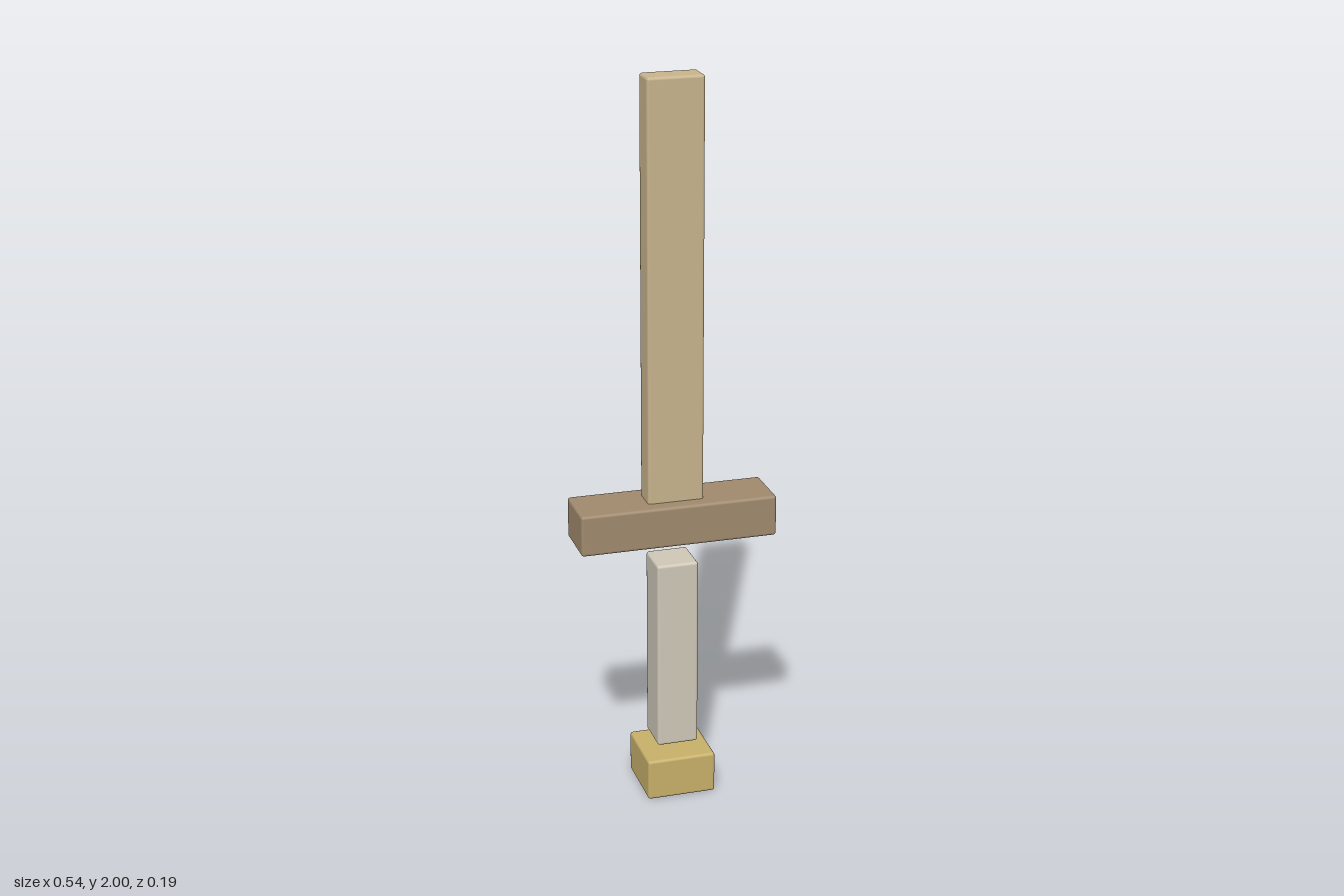
import * as THREE from 'three';
import { RoundedBoxGeometry } from 'three/addons/geometries/RoundedBoxGeometry.js';

const BEVEL = 0.008;

// Softly bevelled block standing between two heights
function block(name, width, depth, bottom, top, color) {
  const geometry = new RoundedBoxGeometry(width, top - bottom, depth, 2, BEVEL);
  const mesh = new THREE.Mesh(geometry, new THREE.MeshStandardMaterial({ color }));
  mesh.name = name;
  mesh.position.y = (bottom + top) / 2;
  return mesh;
}

export function createModel() {
  const sword = new THREE.Group();
  sword.name = 'sword';
  sword.add(
    block('pommel', 0.192, 0.192, 0, 0.117, 0xc8b06a),
    // The grip floats with small gaps above and below
    block('grip', 0.115, 0.115, 0.142, 0.682, 0xcfc8b8),
    block('crossguard', 0.542, 0.154, 0.743, 0.857, 0xa08a6e),
    block('blade', 0.154, 0.076, 0.85, 2, 0xc8b48c),
  );
  return sword;
}
